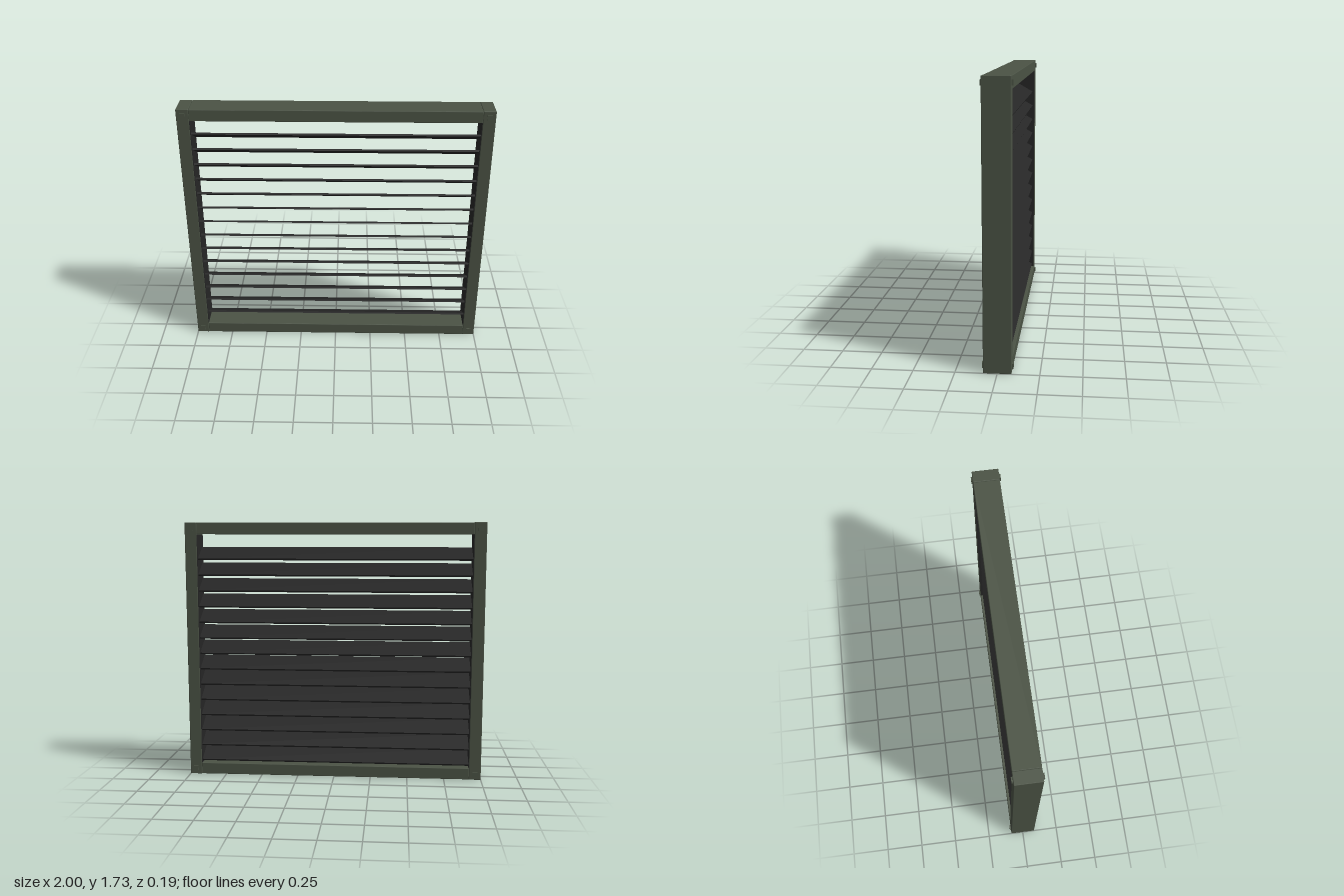
import * as THREE from 'three';
import { RoundedBoxGeometry } from 'three/addons/geometries/RoundedBoxGeometry.js';

export function createModel() {
  const green = new THREE.MeshStandardMaterial({ color: 0x4b5345 });
  green.name = 'olive frame paint';
  const black = new THREE.MeshStandardMaterial({ color: 0x262626 });
  black.name = 'charcoal slat';

  const H = 1.73, D = 0.168, W = 0.08, inner = 0.92;
  const model = new THREE.Group();
  model.name = 'louverPanel';

  const add = (name, geometry, material, x, y, z) => {
    const mesh = new THREE.Mesh(geometry, material);
    mesh.name = name;
    mesh.position.set(x, y, z);
    model.add(mesh);
    return mesh;
  };

  // Frame: two full-height posts with rails between them
  const post = new RoundedBoxGeometry(W, H, D, 2, 0.004);
  const rail = new RoundedBoxGeometry(inner * 2, W - 0.003, D, 2, 0.004);
  add('topRail', rail, green, 0, H - W / 2, 0);
  add('bottomRail', rail, green, 0, W / 2, 0);

  // Dark liners on the inside of the posts, and corner fasteners front and back
  const liner = new THREE.BoxGeometry(0.004, H - 2 * W, D - 0.006);
  const fastener = new THREE.BoxGeometry(0.032, 0.032, 0.02);
  for (const [side, s] of [['left', 1], ['right', -1]]) {
    add(side + 'Post', post, green, s * (inner + W / 2), H / 2, 0);
    add(side + 'Liner', liner, black, s * (inner - 0.001), H / 2, 0);
    for (const y of [0.04, H - 0.04]) {
      for (const f of [1, -1]) {
        add('cornerFastener', fastener, green, s * 0.96, y, f * (D / 2 - 0.001));
      }
    }
  }

  // Slats: front edge high, back edge low
  const slat = new THREE.BoxGeometry(inner * 2, 0.012, 0.15);
  for (let i = 0; i < 14; i++) {
    add('slat', slat, black, 0, 0.134 + i * 0.1068, 0).rotation.x = -Math.PI / 6;
  }

  return model;
}
